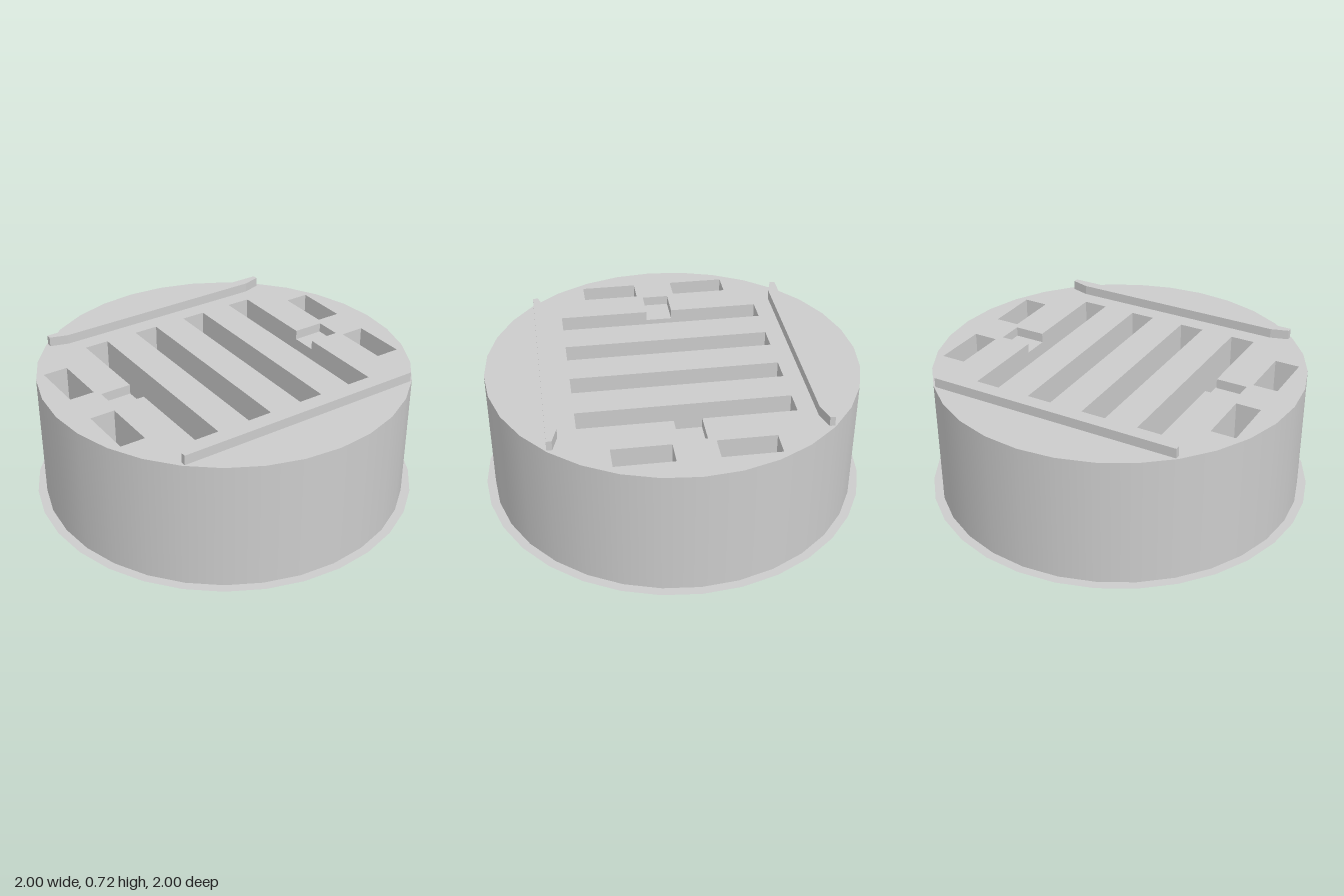
import * as THREE from 'three';

const TOP = 0.67, RADIUS = 0.954, SIDES = 32;
const NOTCH_Y = 0.62, FLOOR_Y = 0.445;

const toShape = (pts) => new THREE.Shape(pts.map(([x, z]) => new THREE.Vector2(x, -z)));

const rect = (x0, x1, z0, z1) => [[x0, z1], [x1, z1], [x1, z0], [x0, z0]];

export function createModel() {
  const model = new THREE.Group();
  const mat = new THREE.MeshStandardMaterial({ color: 0xcccccc, side: THREE.DoubleSide });

  const add = (name, geo, parent = model) => {
    const mesh = new THREE.Mesh(geo, mat);
    mesh.name = name;
    parent.add(mesh);
    return mesh;
  };

  // Flat horizontal sheet at height y
  const sheet = (shape, y) => new THREE.ShapeGeometry(shape).rotateX(-Math.PI / 2).translate(0, y, 0);

  // Vertical walls following a closed outline, facing into the recess
  const walls = (pts, top, bottom) => {
    const pos = [];
    pts.forEach(([ax, az], i) => {
      const [bx, bz] = pts[(i + 1) % pts.length];
      pos.push(ax, bottom, az, bx, top, bz, bx, bottom, bz);
      pos.push(ax, bottom, az, ax, top, az, bx, top, bz);
    });
    const geo = new THREE.BufferGeometry();
    geo.setAttribute('position', new THREE.Float32BufferAttribute(pos, 3));
    geo.computeVertexNormals();
    return geo;
  };

  // Open drum and the thin flange round its foot
  add('drumWall', new THREE.CylinderGeometry(RADIUS, RADIUS, TOP, SIDES, 1, true).translate(0, TOP / 2, 0));
  add('baseFlange', new THREE.RingGeometry(RADIUS, 1, SIDES).rotateX(-Math.PI / 2));

  // Recesses sunk in the top plate; each is closed by its own floor
  const openings = [];
  const recess = (name, pts, opening = pts, top = TOP) => {
    const group = new THREE.Group();
    group.name = name;
    add('recessWalls', walls(pts, top, FLOOR_Y), group);
    add('recessFloor', sheet(toShape(pts), FLOOR_Y), group);
    model.add(group);
    openings.push(opening);
    return group;
  };

  for (const s of [-1, 1]) {
    const side = s < 0 ? 'right' : 'left';
    const span = (a, b, z0, z1) => rect(Math.min(s * a, s * b), Math.max(s * a, s * b), z0, z1);

    recess(side + 'InnerSlot', span(0.087, 0.215, -0.531, 0.531));

    // Outer slot opens into a shallow notch on its outer side
    const outline = [[0.387, 0.531], [0.515, 0.531], [0.515, 0.068], [0.676, 0.068],
      [0.676, -0.068], [0.515, -0.068], [0.515, -0.531], [0.387, -0.531]].map(([x, z]) => [s * x, z]);
    if (s < 0) outline.reverse();
    const slot = recess(side + 'OuterSlot', span(0.387, 0.515, -0.531, 0.531), outline, NOTCH_Y);
    add('notchWalls', walls(outline, TOP, NOTCH_Y), slot);
    add('notchFloor', sheet(toShape(span(0.515, 0.676, -0.068, 0.068)), NOTCH_Y), slot);

    // Short pockets near the rim
    recess(side + 'BackPocket', span(0.697, 0.825, -0.394, -0.105));
    recess(side + 'FrontPocket', span(0.697, 0.825, 0.101, 0.39));
  }

  // Top plate pierced by the recesses
  const disc = Array.from({ length: SIDES }, (_, i) => {
    const a = (i / SIDES) * Math.PI * 2;
    return [RADIUS * Math.cos(a), -RADIUS * Math.sin(a)];
  });
  const plate = toShape(disc);
  plate.holes = openings.map(toShape);
  add('topPlate', sheet(plate, TOP));

  // Two raised rails, tapered on their inner corners
  for (const s of [-1, 1]) {
    const pts = [[-0.662, 0.677], [0.662, 0.677], [0.662, 0.65], [0.57, 0.622], [-0.57, 0.622], [-0.662, 0.65]];
    const geo = new THREE.ExtrudeGeometry(toShape(pts.map(([x, z]) => [x, s * z])), { depth: 0.05, bevelEnabled: false });
    add(s > 0 ? 'frontRail' : 'backRail', geo.rotateX(-Math.PI / 2).translate(0, TOP, 0));
  }

  return model;
}
